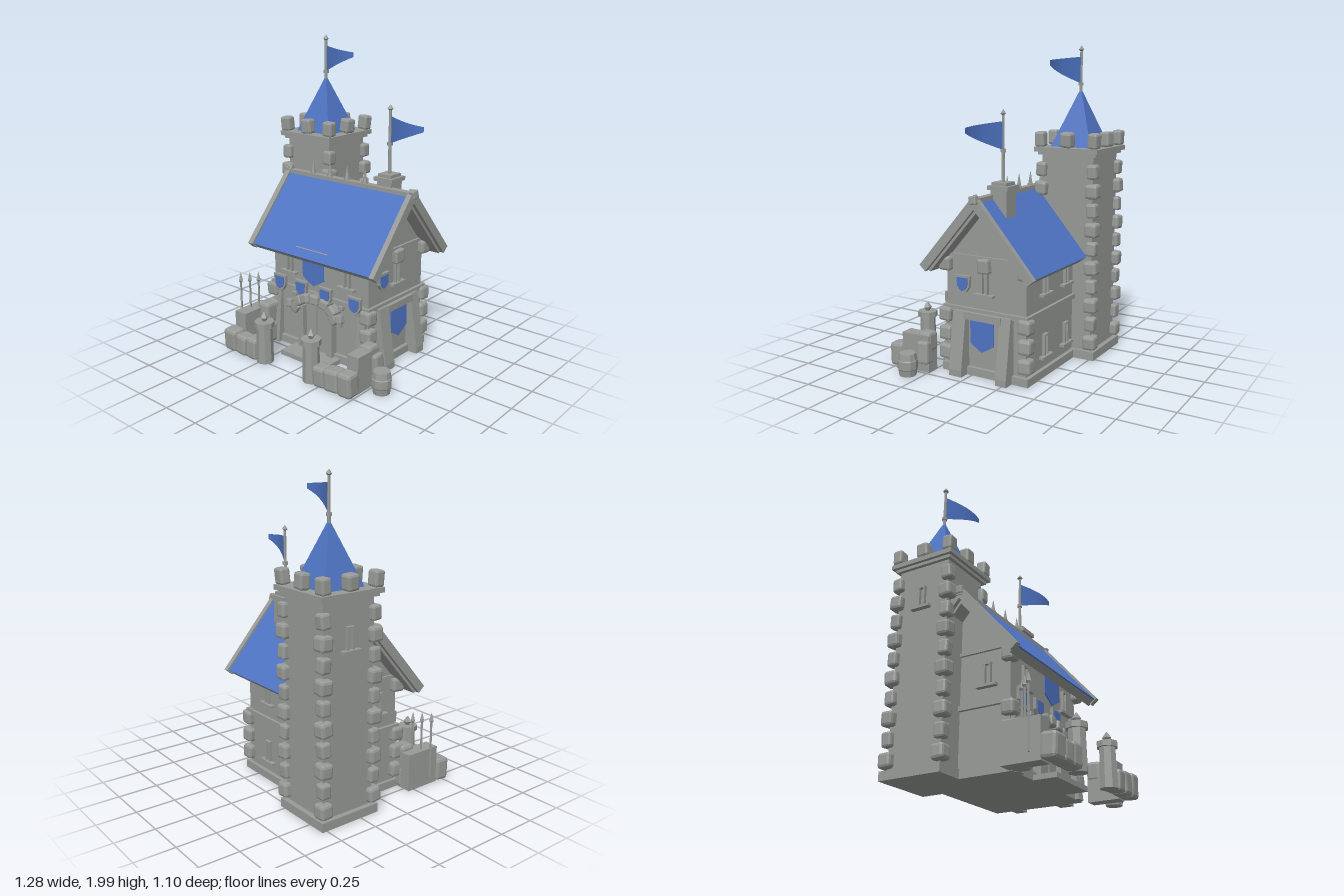
import * as THREE from 'three';
import { RoundedBoxGeometry } from 'three/addons/geometries/RoundedBoxGeometry.js';

const stoneGrey = new THREE.MeshStandardMaterial({ color: 0x979a97, flatShading: true });
const clothBlue = new THREE.MeshStandardMaterial({ color: 0x4f74c4, flatShading: true, side: THREE.DoubleSide });

let seed = 7;
const rnd = () => ((seed = (seed * 16807) % 2147483647) / 2147483647) - 0.5;

export function createModel() {
  const model = new THREE.Group();
  const add = (name, geo, x = 0, y = 0, z = 0, mat = stoneGrey) => {
    const m = new THREE.Mesh(geo, mat);
    m.name = name;
    m.position.set(x, y, z);
    model.add(m);
    return m;
  };
  // Box given by its limits
  const box = (name, x0, x1, y0, y1, z0, z1, mat) =>
    add(name, new THREE.BoxGeometry(x1 - x0, y1 - y0, z1 - z0), (x0 + x1) / 2, (y0 + y1) / 2, (z0 + z1) / 2, mat);
  // Rough chamfered stone
  const stone = (name, x, y, z, w, h, d, wobble = 0.16) => {
    const m = add(name, new RoundedBoxGeometry(w, h, d, 1, Math.min(w, h, d) * 0.2), x, y, z);
    m.rotation.set(rnd() * wobble, rnd() * wobble, rnd() * wobble);
    return m;
  };
  // Prism with a [z, y] section, running from x0 to x1
  const prism = (name, pts, x0, x1) => {
    const g = new THREE.ExtrudeGeometry(new THREE.Shape(pts.map(p => new THREE.Vector2(...p))), { depth: x1 - x0, bevelEnabled: false });
    return add(name, g.rotateY(-Math.PI / 2), x1, 0, 0);
  };
  const cyl = (name, x, y0, y1, z, r0, r1, n = 6) =>
    add(name, new THREE.CylinderGeometry(r1, r0, y1 - y0, n), x, (y0 + y1) / 2, z);
  // Flat outline facing +z, turned about y
  const plate = (name, pts, x, y, z, mat, depth = 0.008, turn = 0) => {
    const g = new THREE.ExtrudeGeometry(new THREE.Shape(pts.map(p => new THREE.Vector2(...p))), { depth, bevelEnabled: false });
    const m = add(name, g, x, y, z, mat);
    m.rotation.y = turn;
    return m;
  };

  // House walls, plinth and storey beam
  const X0 = -0.425, X1 = 0.36, ZB = -0.37, ZF = 0.185, RZ = -0.09;
  box('housePlinth', X0 - 0.02, X1 + 0.025, 0.01, 0.06, ZB - 0.025, ZF + 0.025);
  box('houseWalls', X0, X1, 0.03, 0.76, ZB, ZF);
  prism('gableWalls', [[ZB, 0.74], [ZF, 0.74], [RZ, 1.07]], X0, X1);
  box('storeyBeam', X0 - 0.02, X1 + 0.02, 0.4, 0.43, ZB - 0.02, ZF + 0.02);
  for (const x of [X0, X1]) box('gableBeam', x - 0.015, x + 0.015, 0.735, 0.755, ZB, ZF);
  for (const x of [X0, X1]) for (const z of [ZB, ZF]) {
    for (const y of [0.13, 0.25, 0.37, 0.69]) stone('cornerStone', x, y, z, 0.085, 0.09, 0.085);
  }
  stone('gableCorbel', X1 + 0.01, 0.7, RZ, 0.06, 0.09, 0.08);
  for (let i = 0; i < 6; i++) stone('frontCorbel', -0.36 + i * 0.13, 0.385, ZF + 0.015, 0.035, 0.03, 0.03);

  // Roof: chevron slab, blue covering, bargeboards
  const chevron = (h, top, t) => {
    const y = top - 1.16 * h;
    return [[RZ - h, y], [RZ - h + t * 0.757, y - t * 0.653], [RZ, top - t / 0.653],
      [RZ + h - t * 0.757, y - t * 0.653], [RZ + h, y], [RZ, top]];
  };
  prism('roofSlab', chevron(0.375, 1.115, 0.055), -0.53, 0.46);
  for (const [a, b] of [[-0.555, -0.515], [0.45, 0.485]]) prism('bargeboard', chevron(0.393, 1.14, 0.055), a, b);
  for (const s of [-1, 1]) {
    const m = add('roofCovering', new THREE.BoxGeometry(0.97, 0.008, 0.545), -0.033, 1.115 - 1.16 * 0.198, RZ + s * 0.198, clothBlue);
    m.rotation.x = s * Math.atan(1.16);
  }
  box('ridgeBeam', -0.56, 0.49, 1.075, 1.12, RZ - 0.023, RZ + 0.023);
  for (const x of [-0.55, 0.485]) stone('ridgeEnd', x, 1.11, RZ, 0.035, 0.05, 0.05, 0.4);
  for (const x of [-0.325, -0.18, -0.035, 0.11]) {
    cyl('ridgeSpike', x, 1.12, 1.21, RZ, 0.018, 0.001, 6);
    cyl('spikeFoot', x, 1.11, 1.13, RZ, 0.022, 0.02, 6);
  }

  // Chimney
  box('chimney', 0.2, 0.31, 0.9, 1.16, -0.205, -0.095);
  box('chimneyCap', 0.185, 0.325, 1.15, 1.175, -0.22, -0.08);
  box('chimneyTop', 0.205, 0.305, 1.17, 1.195, -0.2, -0.1);

  // Tower
  const TX = -0.415, TZ = -0.325, T = 0.178;
  box('towerPlinth', TX - 0.21, TX + 0.2, 0.01, 0.065, TZ - 0.21, TZ + 0.2);
  box('towerBody', TX - T, TX + T, 0.03, 1.34, TZ - T, TZ + T);
  box('towerMoulding', TX - 0.2, TX + 0.2, 1.315, 1.335, TZ - 0.2, TZ + 0.2);
  box('towerCornice', TX - 0.22, TX + 0.22, 1.335, 1.365, TZ - 0.22, TZ + 0.22);
  for (const sx of [-1, 1]) for (const sz of [-1, 1]) for (let i = 0; i < 10; i++) {
    const w = i % 2 ? 0.068 : 0.085;
    stone('towerCornerStone', TX + sx * 0.178, 0.125 + i * 0.122, TZ + sz * 0.178, w, 0.09, w);
  }
  for (const i of [-1, 0, 1]) for (const j of [-1, 0, 1]) {
    if (i || j) stone('merlon', TX + i * 0.185, 1.415, TZ + j * 0.185, i ? 0.075 : 0.08, 0.095, j ? 0.065 : 0.08);
  }
  const spire = add('towerRoof', new THREE.ConeGeometry(0.14 * Math.SQRT2, 0.37, 4), TX, 1.55, TZ, clothBlue);
  spire.rotation.y = Math.PI / 4;

  // Flagpoles and curved pennants
  const flagpole = (x, y0, top, z) => {
    cyl('flagpole', x, y0, top - 0.02, z, 0.011, 0.009);
    cyl('poleCollar', x, top - 0.25, top - 0.23, z, 0.018, 0.018);
    cyl('poleTip', x, top - 0.025, top, z, 0.019, 0.002);
    cyl('poleTipBase', x, top - 0.035, top - 0.025, z, 0.006, 0.019);
    const g = new THREE.PlaneGeometry(1, 1, 8, 1), p = g.attributes.position;
    for (let i = 0; i < p.count; i++) {
      const u = p.getX(i) + 0.5, up = p.getY(i) > 0;
      p.setXYZ(i, u * 0.285, up ? -0.07 - 0.025 * u : -0.235 + 0.11 * u, 0.075 * Math.sin(u * 1.9));
    }
    add('pennant', g, x + 0.008, top, z, clothBlue);
  };
  flagpole(TX, 1.7, 2.0, TZ);
  flagpole(0.255, 1.19, 1.62, -0.15);

  // Slit windows with sills
  const slit = (x, y, z, turn) => {
    const g = new THREE.Group();
    g.name = 'slitWindow';
    for (const [w, h, d, px, py] of [[0.012, 0.13, 0.02, -0.018, 0], [0.012, 0.13, 0.02, 0.018, 0], [0.05, 0.012, 0.024, 0, 0.065], [0.13, 0.016, 0.045, 0, -0.07]]) {
      const m = new THREE.Mesh(new THREE.BoxGeometry(w, h, d), stoneGrey);
      m.position.set(px, py, 0.01);
      g.add(m);
    }
    g.position.set(x, y, z);
    g.rotation.y = turn;
    model.add(g);
  };
  const Q = Math.PI / 2;
  for (const x of [-0.28, 0.2]) slit(x, 0.59, ZF, 0);
  for (const x of [-0.13, 0.14]) for (const y of [0.2, 0.59]) slit(x, y, ZB, Math.PI);
  slit(X1, 0.59, RZ, Q);
  slit(X0, 0.59, 0.04, -Q);
  slit(TX - T, 1.1, TZ, -Q);

  // Shields: grey rim with a blue face
  const shieldPts = k => [[-0.05, 0.05], [-0.046, -0.015], [-0.025, -0.045], [0, -0.058], [0.025, -0.045], [0.046, -0.015], [0.05, 0.05]].map(p => [p[0] * k, p[1] * k]).reverse();
  const shield = (x, y, z, turn) => {
    plate('shieldRim', shieldPts(1.05), x, y, z, stoneGrey, 0.02, turn);
    plate('shieldFace', shieldPts(0.78), x + Math.sin(turn) * 0.017, y, z + Math.cos(turn) * 0.017, clothBlue, 0.007, turn);
  };
  for (const x of [-0.345, -0.16, 0.045, 0.28]) shield(x, 0.44, ZF + 0.022, 0);
  shield(X1 + 0.005, 0.575, 0.06, Q);

  // Hanging banners
  const bannerPts = (w, h) => [[-w, 0], [-w, -h + 0.05], [0, -h], [w, -h + 0.05], [w, 0]];
  plate('frontBanner', bannerPts(0.088, 0.235), -0.037, 0.725, 0.235, clothBlue, 0.006);
  const rod = cyl('bannerRod', -0.04, 0.6, 0.86, 0.247, 0.005, 0.005);
  rod.position.y = 0.727;
  rod.rotation.z = Q;
  plate('sideBanner', bannerPts(0.082, 0.195), X1 + 0.03, 0.365, RZ + 0.005, clothBlue, 0.006, Q);

  // Sloping buttresses and lintel on the side wall
  for (const [z0, z1] of [[0.03, 0.12], [-0.285, -0.21]]) {
    const pts = [[X1 - 0.01, 0.01], [0.45, 0.01], [0.45, 0.05], [0.395, 0.41], [X1 - 0.01, 0.41]];
    plate('sideButtress', pts, 0, 0, z0, stoneGrey, z1 - z0);
  }
  box('sideLintel', X1, X1 + 0.045, 0.365, 0.41, -0.22, 0.04);
  for (const x of [X0 + 0.01, X1 - 0.07]) {
    prism('frontButtress', [[ZF - 0.01, 0.01], [ZF + 0.05, 0.01], [ZF + 0.015, 0.4], [ZF - 0.01, 0.4]], x, x + 0.06);
  }

  // Gate: step, panel, jambs and arch stones
  const DX = -0.035;
  box('gateStep', -0.22, 0.16, 0.01, 0.04, ZF, 0.355);
  box('gatePanel', DX - 0.1, DX + 0.1, 0.04, 0.36, ZF, ZF + 0.015);
  for (const s of [-1, 1]) {
    box('gateJamb', DX + s * 0.12 - 0.022, DX + s * 0.12 + 0.022, 0.03, 0.33, ZF, ZF + 0.05);
    box('panelBoard', DX + s * 0.045 - 0.04, DX + s * 0.045 + 0.04, 0.05, 0.35, ZF + 0.01, ZF + 0.025);
    stone('gateLantern', DX + s * 0.21, 0.325, ZF + 0.05, 0.045, 0.055, 0.045, 0.5);
    cyl('lanternBracket', DX + s * 0.21, 0.26, 0.31, ZF + 0.035, 0.006, 0.014);
  }
  for (let i = 0; i < 7; i++) {
    const a = Math.PI * i / 6;
    const m = stone('archStone', DX + Math.cos(a) * 0.16, 0.31 + Math.sin(a) * 0.085, ZF + 0.03, 0.07, 0.065, 0.075);
    m.rotation.z += (a - Q) * 0.6;
  }

  // Courtyard wall with gate pillars
  for (const x of [-0.23, 0.165]) {
    cyl('gatePillar', x, 0.01, 0.26, 0.487, 0.055, 0.05, 8);
    cyl('pillarCap', x, 0.25, 0.285, 0.487, 0.064, 0.064, 8);
    cyl('pillarFinialBase', x, 0.285, 0.31, 0.487, 0.012, 0.028, 5);
    cyl('pillarFinial', x, 0.31, 0.345, 0.487, 0.028, 0.004, 5);
  }
  for (const [x, w, h] of [[-0.51, 0.11, 0.145], [-0.41, 0.1, 0.13], [-0.315, 0.1, 0.14], [0.255, 0.09, 0.13], [0.35, 0.11, 0.14], [0.45, 0.1, 0.15]]) {
    stone('frontWallStone', x, 0.01 + h / 2, 0.487, w, h, 0.1, 0.12);
  }
  box('leftYardWall', -0.55, -0.455, 0.01, 0.25, 0.2, 0.44);
  box('rightYardWall', 0.405, 0.49, 0.01, 0.24, 0.24, 0.44);
  stone('leftWallBlock', -0.44, 0.215, 0.25, 0.1, 0.14, 0.1);
  stone('leftWallBlock', -0.435, 0.08, 0.25, 0.11, 0.14, 0.11);
  stone('rightWallBlock', 0.445, 0.2, 0.28, 0.09, 0.12, 0.09);
  stone('rightWallBlock', 0.49, 0.14, 0.27, 0.07, 0.14, 0.08);

  // Spears
  for (const [x, z] of [[-0.558, 0.375], [-0.52, 0.33], [-0.48, 0.29]]) {
    cyl('spearShaft', x, 0.06, 0.44, z, 0.007, 0.007, 5);
    cyl('spearHead', x, 0.44, 0.495, z, 0.017, 0.001, 4);
    cyl('spearNeck', x, 0.425, 0.44, z, 0.007, 0.017, 4);
  }

  // Barrel
  const profile = [[0, 0], [0.052, 0], [0.058, 0.04], [0.062, 0.045], [0.062, 0.095], [0.058, 0.1], [0.052, 0.14], [0, 0.14]];
  add('barrel', new THREE.LatheGeometry(profile.map(p => new THREE.Vector2(...p)), 10), 0.58, 0.012, 0.333);

  return model;
}
